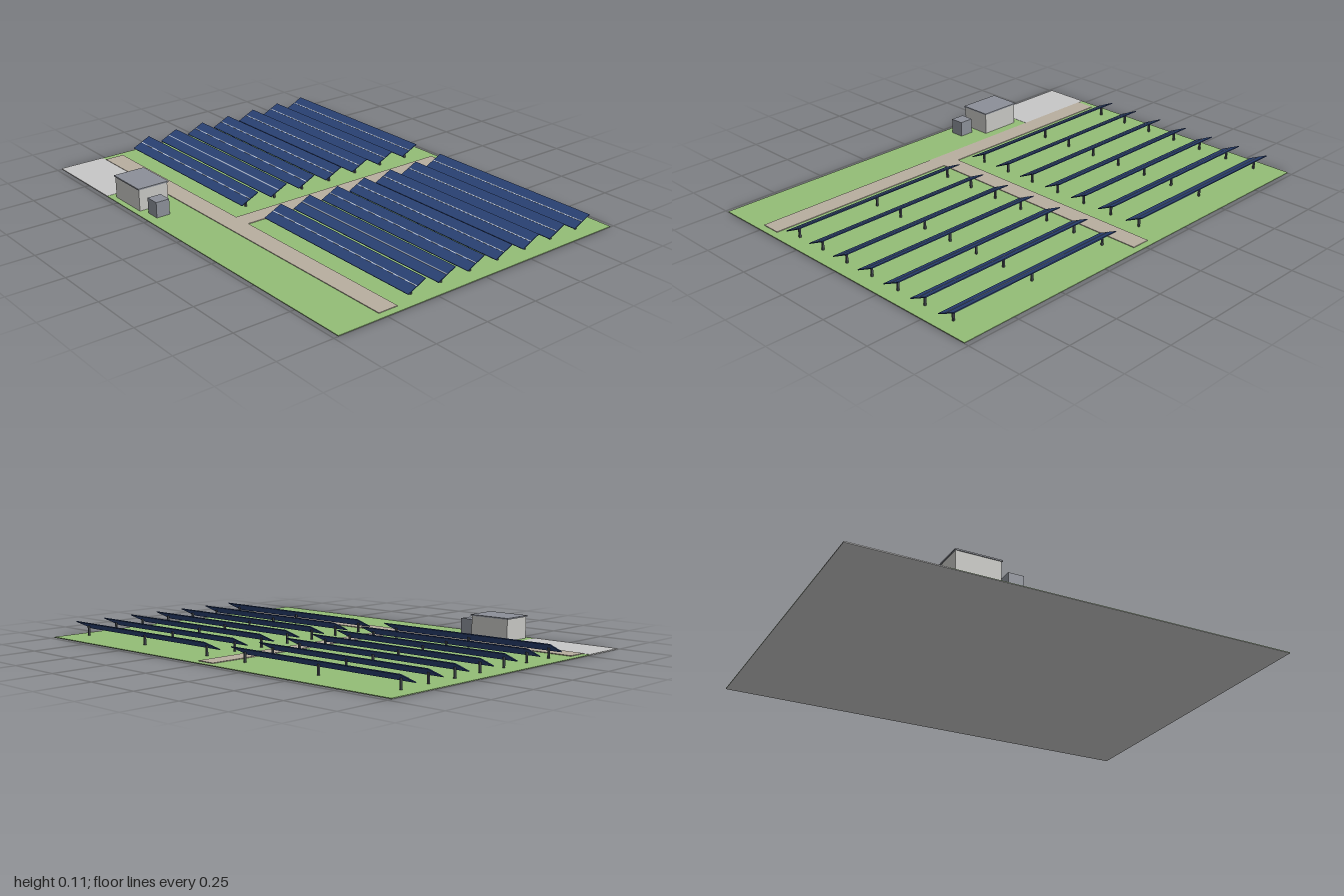
import * as THREE from 'three';

const mat = (name, color) => {
  const m = new THREE.MeshStandardMaterial({ color });
  m.name = name;
  return m;
};

export function createModel() {
  const model = new THREE.Group();
  model.name = 'solarFarm';

  const grass = mat('grass green', 0x93bd76);
  const concrete = mat('concrete grey', 0xc6c6c6);
  const gravel = mat('gravel tan', 0xb8ae9f);
  const panelBlue = mat('panel blue', 0x2c4579);
  const seamWhite = mat('seam pale', 0xc4ccd8);
  const steel = mat('post steel', 0x4a4f56);
  const wall = mat('wall grey', 0xc6c6c2);
  const equipment = mat('equipment grey', 0x8b8f98);

  // Box given by its limits on each axis
  const block = (name, material, [x0, x1], [y0, y1], [z0, z1], parent = model) => {
    const mesh = new THREE.Mesh(new THREE.BoxGeometry(x1 - x0, y1 - y0, z1 - z0), material);
    mesh.position.set((x0 + x1) / 2, (y0 + y1) / 2, (z0 + z1) / 2);
    mesh.name = name;
    parent.add(mesh);
    return mesh;
  };

  // Ground: slab, grass around a bare corner, parking pad
  block('groundSlab', concrete, [-1, 1], [0, 0.002], [-0.73, 0.73]);
  block('mainLawn', grass, [-1, 1], [0.002, 0.004], [-0.73, 0.515]);
  block('frontLawn', grass, [-0.585, 1], [0.002, 0.004], [0.515, 0.73]);
  block('parkingPad', concrete, [-1, -0.585], [0.002, 0.005], [0.515, 0.73]);

  // Gravel roads in a T
  block('crossRoad', gravel, [-0.968, 0.968], [0.004, 0.007], [0.425, 0.515]);
  block('centreRoad', gravel, [-0.043, 0.043], [0.004, 0.007], [-0.7, 0.425]);

  // Tilted panel rows, seven on each side of the road
  const rowLength = 0.88, slope = 0.095, tilt = THREE.MathUtils.degToRad(25);
  for (const side of [-1, 1]) {
    for (let i = 0; i < 7; i++) {
      const row = new THREE.Group();
      row.name = 'panelRow';
      row.position.set(side * 0.521, 0, -0.594 + i * 0.153);
      model.add(row);

      const table = new THREE.Group();
      table.name = 'panelTable';
      table.position.y = 0.049;
      table.rotation.x = tilt;
      row.add(table);
      const h = rowLength / 2;
      block('panel', panelBlue, [-h, h], [-0.002, 0.002], [-slope / 2, slope / 2], table);
      block('panelSeam', seamWhite, [-h, h], [0.002, 0.003], [-0.002, 0.002], table);

      for (const x of [-0.406, 0, 0.406]) {
        block('post', steel, [x - 0.004, x + 0.004], [0.004, 0.047], [-0.004, 0.004], row);
      }
    }
  }

  // Control building with a thin flat roof, and the transformer box beside it
  block('buildingWalls', wall, [-0.549, -0.355], [0.004, 0.101], [0.563, 0.704]);
  block('buildingRoof', equipment, [-0.553, -0.351], [0.101, 0.107], [0.559, 0.708]);
  block('transformerBox', equipment, [-0.317, -0.249], [0.004, 0.074], [0.622, 0.686]);

  return model;
}
